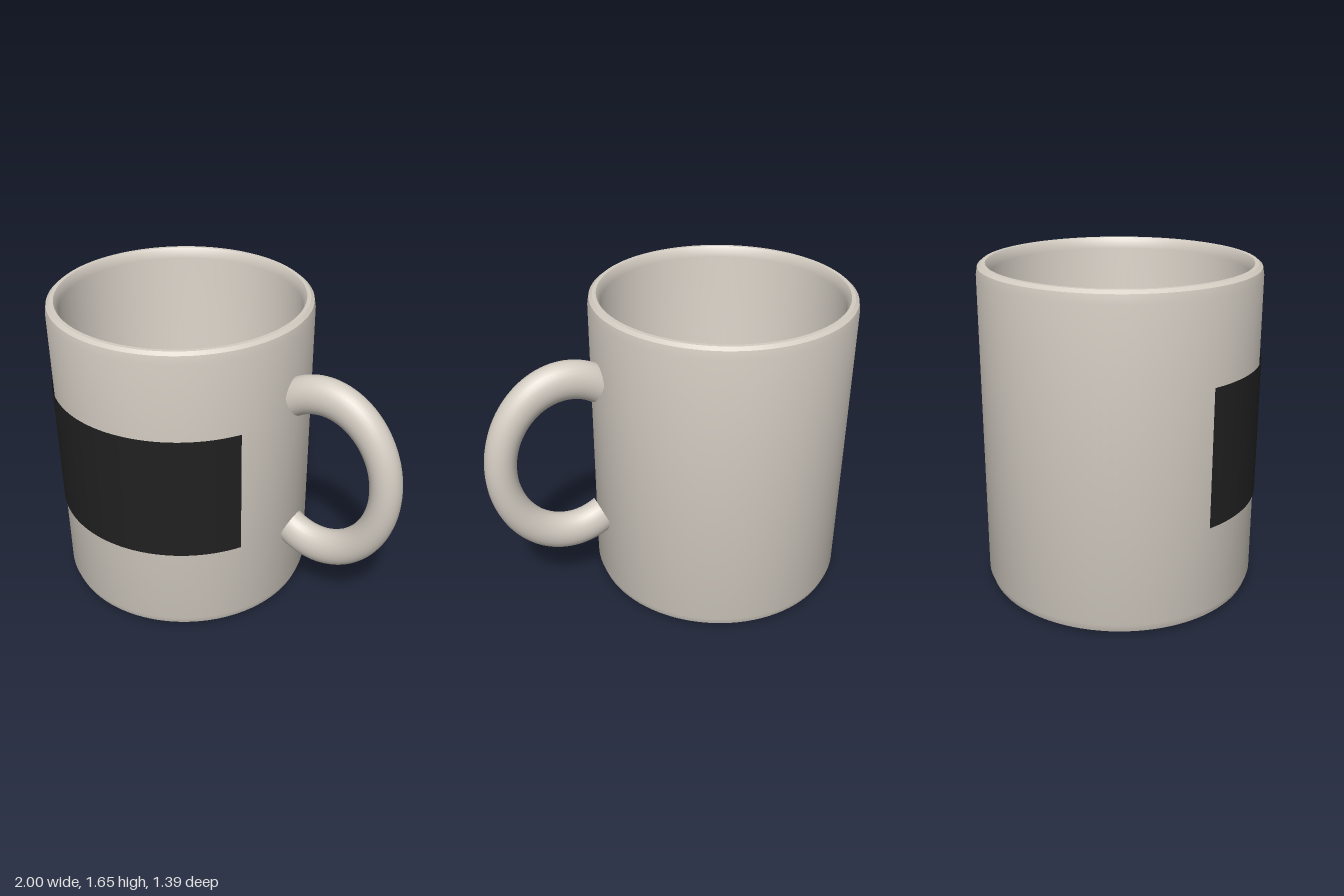
import * as THREE from 'three';
import { toCreasedNormals } from 'three/addons/utils/BufferGeometryUtils.js';

const AXIS_X = -0.31;

export function createModel() {
  const ceramic = new THREE.MeshStandardMaterial({ color: 0xd3ccc2 });
  ceramic.name = 'warm grey ceramic';
  const dark = new THREE.MeshStandardMaterial({ color: 0x202020, side: THREE.DoubleSide });
  dark.name = 'black panel';

  const mug = new THREE.Group();
  mug.name = 'mug';
  const add = (name, geometry, material, parent = mug) => {
    const mesh = new THREE.Mesh(geometry, material);
    mesh.name = name;
    parent.add(mesh);
    return mesh;
  };

  // Cup: outer wall, rim, inner wall and floor in one turned profile
  const profile = [
    [0, 0], [0.63, 0], [0.675, 0.018], [0.69, 0.06],
    [0.69, 1.6], [0.683, 1.64], [0.665, 1.655], [0.645, 1.655],
    [0.635, 1.64], [0.625, 1.6], [0.625, 0.13], [0.61, 0.085], [0, 0.085],
  ].map(([r, y]) => new THREE.Vector2(r, y));
  const cup = add('cup', toCreasedNormals(new THREE.LatheGeometry(profile, 96), 0.45), ceramic);
  cup.position.x = AXIS_X;

  // Curved panel wrapped round the front third of the cup
  const panel = add('frontPanel',
    new THREE.CylinderGeometry(0.698, 0.698, 0.69, 48, 1, true, -Math.PI / 3, 2 * Math.PI / 3), dark);
  panel.position.set(AXIS_X, 0.845, 0);

  // Handle: open ring stretched upwards, with its ends set into the wall
  const handle = new THREE.Group();
  handle.name = 'handle';
  handle.position.set(0.556, 0.865, 0);
  handle.scale.y = 1.25;
  mug.add(handle);
  const R = 0.362, tube = 0.082, half = THREE.MathUtils.degToRad(118.5);
  const ring = new THREE.TorusGeometry(R, tube, 28, 72, 2 * half);
  ring.rotateZ(-half);
  add('handleRing', ring, ceramic, handle);
  for (const s of [1, -1]) {
    const cap = add(s > 0 ? 'handleTopEnd' : 'handleBottomEnd',
      new THREE.CircleGeometry(tube, 28).rotateX(-s * Math.PI / 2), ceramic, handle);
    cap.position.set(R * Math.cos(half), s * R * Math.sin(half), 0);
    cap.rotation.z = s * half;
  }

  return mug;
}
